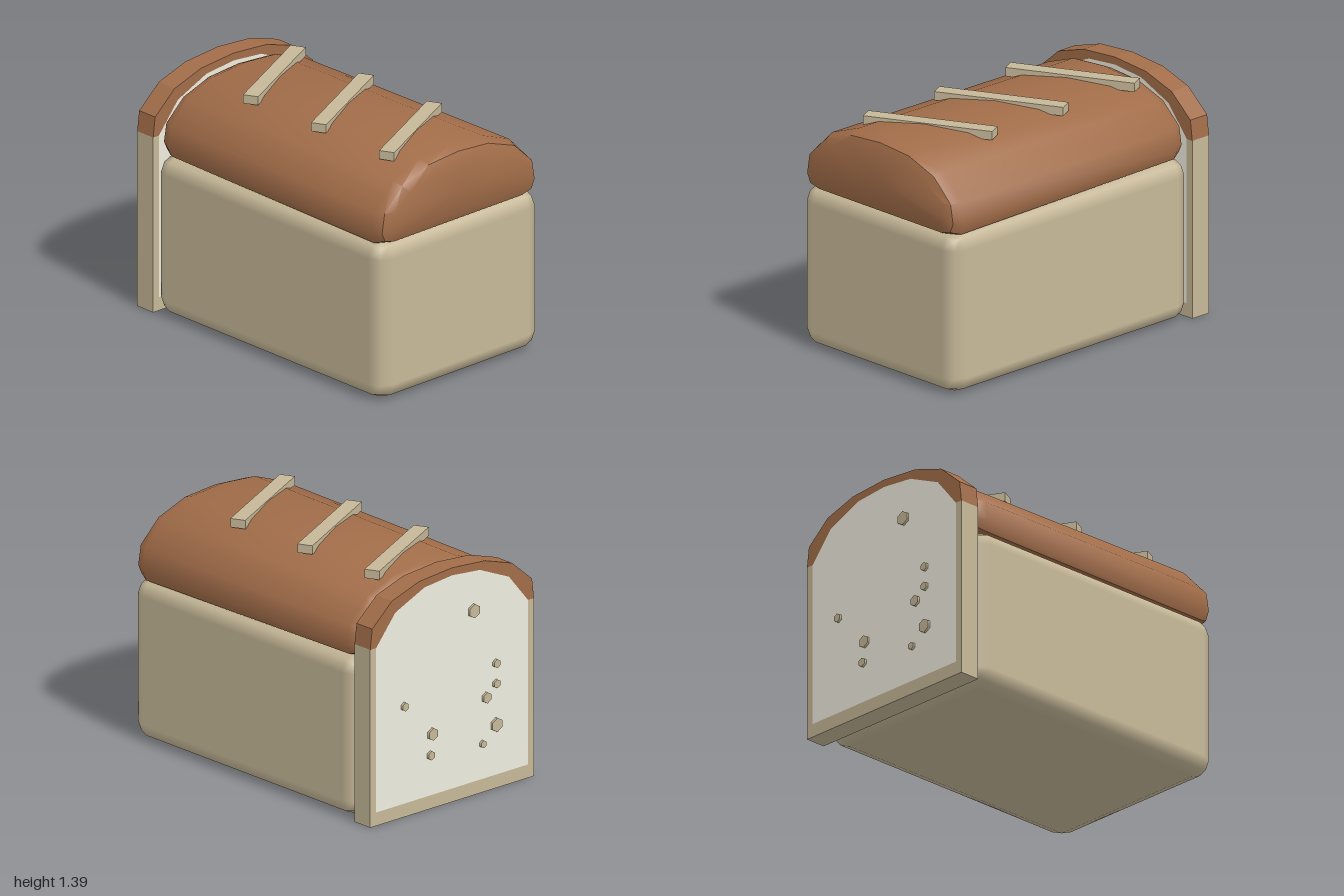
import * as THREE from 'three';
import { toCreasedNormals } from 'three/addons/utils/BufferGeometryUtils.js';
import { RoundedBoxGeometry } from 'three/addons/geometries/RoundedBoxGeometry.js';

const material = (color) => new THREE.MeshStandardMaterial({ color });
const mirror = (half) => [...half, ...half.filter(([x]) => x > 0).reverse().map(([x, y]) => [-x, y])];
const toPath = (pts, Path = THREE.Shape) => new Path(pts.map(([x, y]) => new THREE.Vector2(x, y)));

// Domed top crust: one cross-section repeated along z, drawn in at both rounded ends
function crustGeometry() {
  const loop = mirror([[0, 0.93], [0.51, 0.93], [0.585, 0.95], [0.61, 1.01],
    [0.59, 1.14], [0.45, 1.285], [0.24, 1.365], [0, 1.385]]);
  const sections = [[-0.845, 0.09], [-0.82, 0.04], [-0.76, 0.015], [0.91, 0], [0.975, 0.025], [1, 0.085]]; // z, inset
  const n = loop.length, mid = 1.14;
  const positions = [], index = [];
  for (const [z, inset] of sections) {
    for (const [x, y] of loop) {
      positions.push(x * (1 - inset / 0.61), mid + (y - mid) * (1 - inset / 0.23), z);
    }
  }
  const last = sections.length - 1;
  for (let s = 0; s < last; s++) {
    for (let i = 0; i < n; i++) {
      const a = s * n + i, b = s * n + (i + 1) % n;
      index.push(a, b, b + n, a, b + n, a + n);
    }
  }
  // End caps
  const back = positions.length / 3, front = back + 1;
  positions.push(0, mid, sections[0][0], 0, mid, sections[last][0]);
  for (let i = 0; i < n; i++) {
    const j = (i + 1) % n;
    index.push(back, j, i, front, last * n + i, last * n + j);
  }
  const geometry = new THREE.BufferGeometry();
  geometry.setAttribute('position', new THREE.Float32BufferAttribute(positions, 3));
  geometry.setIndex(index);
  return toCreasedNormals(geometry, 0.75);
}

export function createModel() {
  const model = new THREE.Group();
  model.name = 'breadLoaf';
  const beige = material(0xc6b898), brown = material(0xa26d49), pale = material(0xefeddf);
  const add = (name, geometry, mat, x = 0, y = 0, z = 0, parent = model) => {
    const mesh = new THREE.Mesh(geometry, mat);
    mesh.name = name;
    mesh.position.set(x, y, z);
    parent.add(mesh);
    return mesh;
  };

  // Loaf
  add('loafBody', new RoundedBoxGeometry(1.24, 0.96, 1.85, 1, 0.1), beige, 0, 0.48, 0.075);
  add('topCrust', crustGeometry(), brown);

  // Diagonal scores across the crust
  for (const z of [-0.525, 0.03, 0.585]) {
    add('score', new THREE.BoxGeometry(0.765, 0.052, 0.09), beige, 0, 1.361, z).rotation.y = 0.46;
  }

  // Cut slice at the back: crust arch, lower rim and crumb
  const slice = new THREE.Group();
  slice.name = 'slice';
  model.add(slice);
  const depth = 0.13, zBack = -0.985;
  const slab = (shape) => new THREE.ExtrudeGeometry(shape, { depth, bevelEnabled: false });
  const outer = mirror([[0.62, 1.06], [0.605, 1.18], [0.455, 1.31], [0.25, 1.375], [0, 1.395]]);
  const inner = mirror([[0.575, 1.06], [0.43, 1.235], [0.21, 1.33], [0, 1.35]]);
  const arch = toPath([...outer, ...[...inner].reverse()]);
  const rim = toPath([[-0.62, 1.06], [-0.62, 0], [0.62, 0], [0.62, 1.06],
    [0.575, 1.06], [0.575, 0.08], [-0.575, 0.08], [-0.575, 1.06]]);
  const crumb = toPath([[-0.575, 0.08], [0.575, 0.08], ...inner]);
  add('sliceCrust', slab(arch), brown, 0, 0, zBack, slice);
  add('sliceRim', slab(rim), beige, 0, 0, zBack, slice);
  add('sliceCrumb', slab(crumb), pale, 0, 0, zBack, slice);

  // Six-sided crumb pores: x, y, radius
  const pores = [[-0.16, 1.1, 0.042], [0.365, 0.66, 0.026], [-0.33, 0.745, 0.026],
    [-0.33, 0.625, 0.026], [0.153, 0.444, 0.037], [-0.255, 0.56, 0.033],
    [0.167, 0.32, 0.027], [-0.33, 0.38, 0.042], [-0.227, 0.29, 0.023]];
  for (const [x, y, r] of pores) {
    const geometry = new THREE.CylinderGeometry(r, r, 0.03, 6).rotateX(Math.PI / 2);
    add('crumbPore', geometry, beige, x, y, -0.985, slice);
  }
  return model;
}
